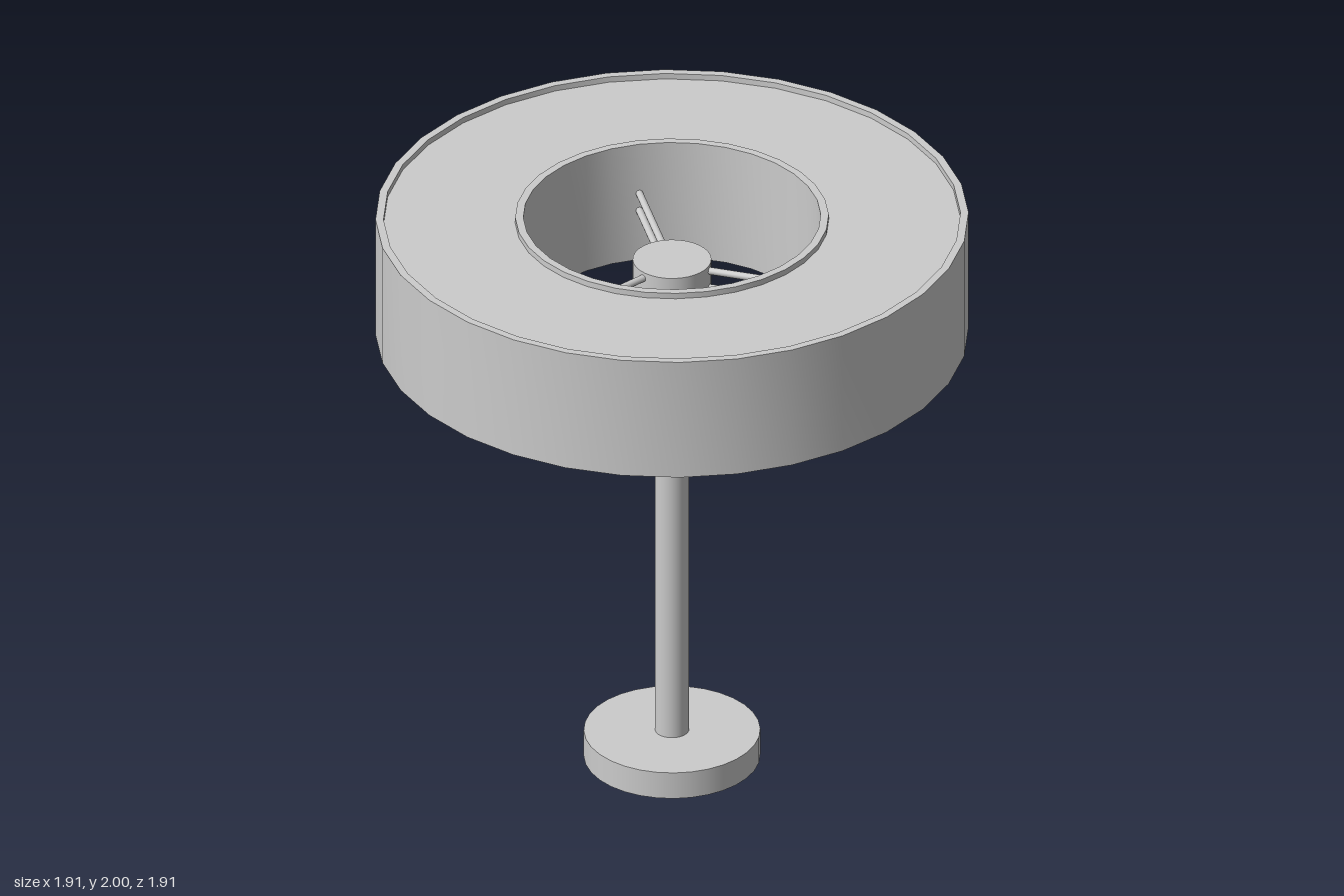
import * as THREE from 'three';
import { toCreasedNormals } from 'three/addons/utils/BufferGeometryUtils.js';

const material = new THREE.MeshStandardMaterial({ color: 0xcccccc });
const SIDES = 32;

// Rectangular-section ring around the y axis
function ring(name, inner, outer, bottom, top) {
  const profile = [
    [inner, bottom], [outer, bottom], [outer, top], [inner, top], [inner, bottom],
  ].map(([r, y]) => new THREE.Vector2(r, y));
  const geometry = toCreasedNormals(new THREE.LatheGeometry(profile, SIDES), 0.6);
  const mesh = new THREE.Mesh(geometry, material);
  mesh.name = name;
  return mesh;
}

// Upright cylinder between two heights
function disc(name, radius, bottom, top) {
  const geometry = new THREE.CylinderGeometry(radius, radius, top - bottom, SIDES);
  const mesh = new THREE.Mesh(geometry, material);
  mesh.position.y = (bottom + top) / 2;
  mesh.name = name;
  return mesh;
}

export function createModel() {
  const lamp = new THREE.Group();
  lamp.name = 'tableLamp';

  // Foot and stem
  lamp.add(disc('base', 0.285, 0, 0.095));
  lamp.add(disc('stem', 0.055, 0.095, 1.73));

  // Ring-shaped shade: two walls with a slightly recessed body between them
  const shade = new THREE.Group();
  shade.name = 'shade';
  shade.add(ring('outerWall', 0.931, 0.957, 1.573, 2));
  shade.add(ring('innerWall', 0.48, 0.506, 1.573, 2));
  shade.add(ring('diffuser', 0.506, 0.931, 1.593, 1.98));
  lamp.add(shade);

  // Hub on top of the stem
  lamp.add(disc('hub', 0.127, 1.73, 1.84));

  // Three pairs of stacked rods joining the hub to the inner wall
  const start = 0.11, end = 0.485;
  const rod = new THREE.CylinderGeometry(0.012, 0.012, end - start, 12);
  rod.rotateX(Math.PI / 2).translate(0, 0, -(start + end) / 2);
  for (let i = 0; i < 3; i++) {
    const spoke = new THREE.Group();
    spoke.name = 'spoke';
    spoke.rotation.y = (i * 2 * Math.PI) / 3;
    for (const y of [1.755, 1.818]) {
      const mesh = new THREE.Mesh(rod, material);
      mesh.name = 'spokeRod';
      mesh.position.y = y;
      spoke.add(mesh);
    }
    lamp.add(spoke);
  }
  return lamp;
}
